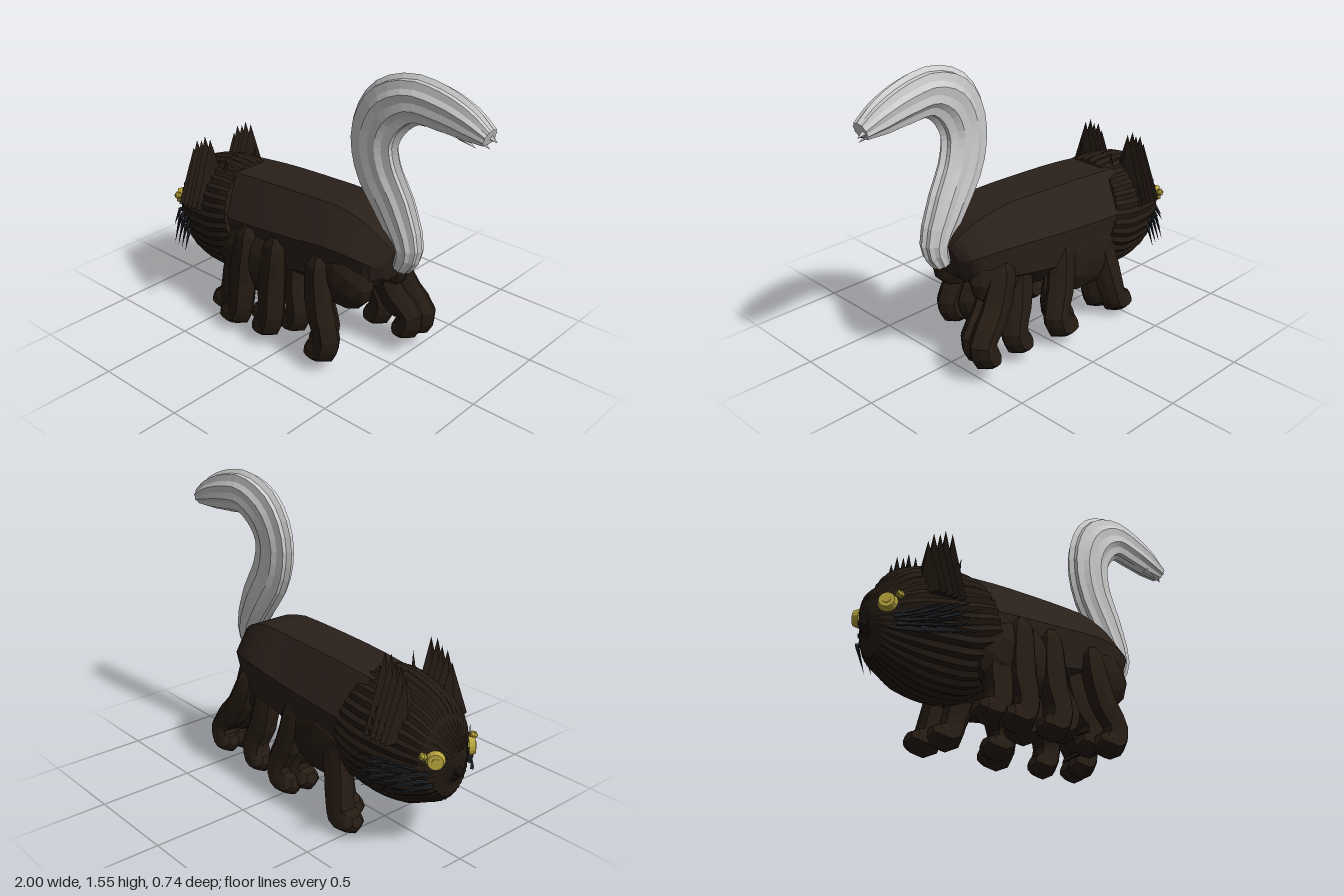
import * as THREE from 'three';

const mat = (color) => new THREE.MeshStandardMaterial({ color, flatShading: true, side: THREE.DoubleSide });
const furMat = mat(0x2a201a), headMat = mat(0x231a13), legMat = mat(0x251b13);
const tailMat = mat(0xcccccc), whiskerMat = mat(0x24262a), eyeMat = mat(0xb5a23c), noseMat = mat(0x15110f);

// Skins rings along stations [x, y, z, halfHeight, halfWidth]; section is a list of [up, side] points
function loft(stations, section, steps) {
  const path = new THREE.CatmullRomCurve3(stations.map((s) => new THREE.Vector3(s[0], s[1], s[2])));
  const size = new THREE.CatmullRomCurve3(stations.map((s) => new THREE.Vector3(s[3], s[4], 0)));
  const m = section.length, pos = [], idx = [];
  const side = new THREE.Vector3(0, 0, 1);
  for (let i = 0; i <= steps; i++) {
    const t = i / steps;
    const p = path.getPoint(t), s = size.getPoint(t), tan = path.getTangent(t);
    const up = new THREE.Vector3().crossVectors(side, tan).normalize();
    for (const [u, w] of section) {
      const v = p.clone().addScaledVector(up, u * s.x).addScaledVector(side, w * s.y);
      pos.push(v.x, v.y, v.z);
    }
  }
  for (let i = 0; i < steps; i++) {
    for (let j = 0; j < m; j++) {
      const a = i * m + j, b = i * m + (j + 1) % m;
      idx.push(a, b, b + m, a, b + m, a + m);
    }
  }
  // End caps
  const first = path.getPoint(0), last = path.getPoint(1), c = pos.length / 3;
  pos.push(first.x, first.y, first.z, last.x, last.y, last.z);
  for (let j = 0; j < m; j++) {
    const k = (j + 1) % m;
    idx.push(c, k, j, c + 1, steps * m + j, steps * m + k);
  }
  const g = new THREE.BufferGeometry();
  g.setAttribute('position', new THREE.Float32BufferAttribute(pos, 3));
  g.setIndex(idx);
  g.computeVertexNormals();
  return g;
}

// Round section with grooves: every second point is pulled in
const ring = (n, groove) => Array.from({ length: n }, (_, j) => {
  const a = (j / n) * Math.PI * 2, r = j % 2 ? groove : 1;
  return [Math.cos(a) * r, Math.sin(a) * r];
});

function add(parent, name, geometry, material) {
  const mesh = new THREE.Mesh(geometry, material);
  mesh.name = name;
  parent.add(mesh);
  return mesh;
}

// Thin pointed lock of hair between two points
function spike(parent, name, from, to, r, material) {
  const a = new THREE.Vector3(...from), b = new THREE.Vector3(...to), d = b.clone().sub(a);
  const mesh = add(parent, name, new THREE.ConeGeometry(r, d.length(), 4), material);
  mesh.position.copy(a).add(b).multiplyScalar(0.5);
  mesh.quaternion.setFromUnitVectors(new THREE.Vector3(0, 1, 0), d.normalize());
}

export function createModel() {
  const model = new THREE.Group();
  model.name = 'cat';

  // Faceted trunk with a flat back
  const half = [[1, 0.5], [0.25, 1], [-0.5, 0.9], [-1, 0.4]];
  const section = [...half, ...half.slice().reverse().map(([u, w]) => [u, -w])];
  add(model, 'body', loft([
    [-0.52, 0.52, -0.02, 0.27, 0.24], [-0.3, 0.54, -0.02, 0.27, 0.25], [0, 0.57, -0.02, 0.255, 0.25],
    [0.24, 0.6, -0.02, 0.23, 0.24], [0.38, 0.6, -0.01, 0.19, 0.21], [0.47, 0.59, 0, 0.14, 0.17],
    [0.51, 0.58, 0, 0.09, 0.1],
  ], section, 14), furMat);

  // Head of combed hair running back from the nose
  const head = new THREE.Group();
  head.name = 'head';
  model.add(head);
  add(head, 'headFur', loft([
    [-0.975, 0.47, -0.01, 0.06, 0.04], [-0.945, 0.475, -0.01, 0.14, 0.09], [-0.885, 0.475, -0.01, 0.22, 0.165],
    [-0.79, 0.485, -0.01, 0.285, 0.22], [-0.68, 0.495, -0.01, 0.315, 0.25], [-0.56, 0.508, -0.01, 0.325, 0.265],
    [-0.48, 0.53, -0.01, 0.305, 0.27], [-0.42, 0.545, -0.01, 0.28, 0.26],
  ], ring(72, 0.96), 20), headMat);
  const nose = add(head, 'nose', new THREE.IcosahedronGeometry(0.025, 1), noseMat);
  nose.position.set(-0.975, 0.45, -0.015);

  for (const s of [1, -1]) {
    // Ears built from a row of pointed tufts
    [[-0.765, 0.87], [-0.735, 0.92], [-0.7, 0.93], [-0.67, 0.96], [-0.63, 0.955]].forEach(([x, top]) => {
      const tuft = add(head, 'earTuft', new THREE.ConeGeometry(0.038, top - 0.58, 4), headMat);
      tuft.position.set(x, (top + 0.58) / 2, s * 0.148 - 0.005);
      tuft.scale.z = 3.2;
    });
    spike(head, 'crownTuft', [-0.57, 0.74, s * 0.1], [-0.55, 0.87, s * 0.11], 0.02, headMat);

    // Eyes: a disc with a raised pupil and a small inner corner
    const eye = new THREE.Group();
    eye.name = 'eye';
    eye.position.set(-0.94, 0.525, s * 0.12 - 0.01);
    eye.quaternion.setFromUnitVectors(new THREE.Vector3(0, 1, 0), new THREE.Vector3(-0.7, 0.1, s * 0.7).normalize());
    add(eye, 'eyeball', new THREE.CylinderGeometry(0.036, 0.046, 0.03, 14), eyeMat);
    add(eye, 'pupil', new THREE.CylinderGeometry(0.018, 0.018, 0.038, 10), eyeMat);
    head.add(eye);
    const corner = add(head, 'eyeCorner', new THREE.IcosahedronGeometry(0.022, 0), eyeMat);
    corner.position.set(-0.905, 0.55, s * 0.165 - 0.01);

    // Whiskers sweeping back and outwards
    for (let i = 0; i < 18; i++) {
      const k = i / 17, w = (i * 5 % 18) / 17;
      spike(head, 'whisker', [-0.93 + 0.2 * w, 0.4 + 0.08 * k, s * (0.13 + 0.1 * w)],
        [-0.78 + 0.18 * w, 0.35 + 0.18 * k, s * (0.3 + 0.07 * w)], 0.011, whiskerMat);
    }

    // Shoulder and hip masses
    const shoulder = add(model, 'shoulder', new THREE.IcosahedronGeometry(1, 1), legMat);
    shoulder.scale.set(0.27, 0.2, 0.11);
    shoulder.position.set(-0.27, 0.4, s * 0.17);
    const hip = add(model, 'hip', new THREE.IcosahedronGeometry(1, 1), legMat);
    hip.scale.set(0.18, 0.16, 0.09);
    hip.position.set(0.3, 0.48, s * 0.14);
  }

  // Legs in mid-stride, each a bundle of thick locks: [topX, topY, footX, footY, z, toeLength]
  const legs = {
    frontLegNear: [[-0.36, 0.5, -0.42, 0.11, 0.21, 0.08], [-0.28, 0.54, -0.31, 0.09, 0.26, 0.08], [-0.18, 0.5, -0.19, 0.09, 0.15, 0.07]],
    middleLegNear: [[-0.09, 0.54, -0.1, 0.1, 0.25, 0.06], [-0.02, 0.5, 0.02, 0.14, 0.17, 0.06]],
    hindLegNear: [[0.12, 0.5, 0.2, 0.11, 0.16, 0.04], [0.19, 0.53, 0.27, 0.1, 0.24, 0.07]],
    frontLegFar: [[-0.34, 0.53, -0.45, 0.075, -0.23, 0.08], [-0.28, 0.5, -0.38, 0.1, -0.16, 0.08]],
    middleLegFar: [[-0.07, 0.53, -0.01, 0.1, -0.24, 0.08], [-0.1, 0.48, -0.06, 0.12, -0.17, 0.07]],
    hindLegFar: [[0.2, 0.53, 0.25, 0.1, -0.2, 0.05], [0.33, 0.53, 0.49, 0.13, -0.23, 0.04], [0.32, 0.47, 0.47, 0.13, -0.15, 0.04]],
  };
  for (const [name, locks] of Object.entries(legs)) {
    const leg = new THREE.Group();
    leg.name = name;
    model.add(leg);
    for (const [tx, ty, fx, fy, z, toe] of locks) {
      const mx = (tx + fx) / 2, out = Math.sign(z) * 0.01;
      add(leg, 'legLock', loft([
        [tx, ty + 0.06, z - out * 4, 0.03, 0.03], [tx, ty, z - out * 3, 0.07, 0.055], [mx, (ty + fy) / 2, z - out, 0.085, 0.067],
        [fx + 0.02, fy + 0.08, z + out, 0.075, 0.07], [fx - 0.01, fy, z + out, 0.072, 0.077],
        [fx - toe, fy, z + out, 0.062, 0.07], [fx - toe - 0.03, fy + 0.01, z + out, 0.03, 0.035],
      ], ring(10, 0.88), 14), legMat);
    }
  }

  // Curled bushy tail with lengthwise grooves
  const tail = new THREE.Group();
  tail.name = 'tail';
  model.add(tail);
  add(tail, 'tailFur', loft([
    [0.54, 0.57, 0, 0.05, 0.045], [0.575, 0.68, 0, 0.085, 0.058], [0.49, 0.87, 0, 0.125, 0.062],
    [0.39, 1.05, 0.01, 0.14, 0.06], [0.37, 1.21, 0.015, 0.14, 0.062], [0.435, 1.35, 0.01, 0.14, 0.068],
    [0.57, 1.43, 0, 0.12, 0.072], [0.73, 1.42, -0.01, 0.11, 0.068], [0.87, 1.385, -0.015, 0.085, 0.062],
    [0.97, 1.35, -0.015, 0.045, 0.05],
  ], ring(20, 0.87), 26), tailMat);
  [[0.98, 1.35, 1, 1.33], [0.93, 1.34, 0.98, 1.3], [0.86, 1.33, 0.92, 1.295]].forEach(([x, y, tx, ty], i) =>
    spike(tail, 'tailTipTuft', [x - 0.03, y, -0.035 + i * 0.02], [tx, ty, -0.03 + i * 0.02], 0.024, tailMat));

  return model;
}
